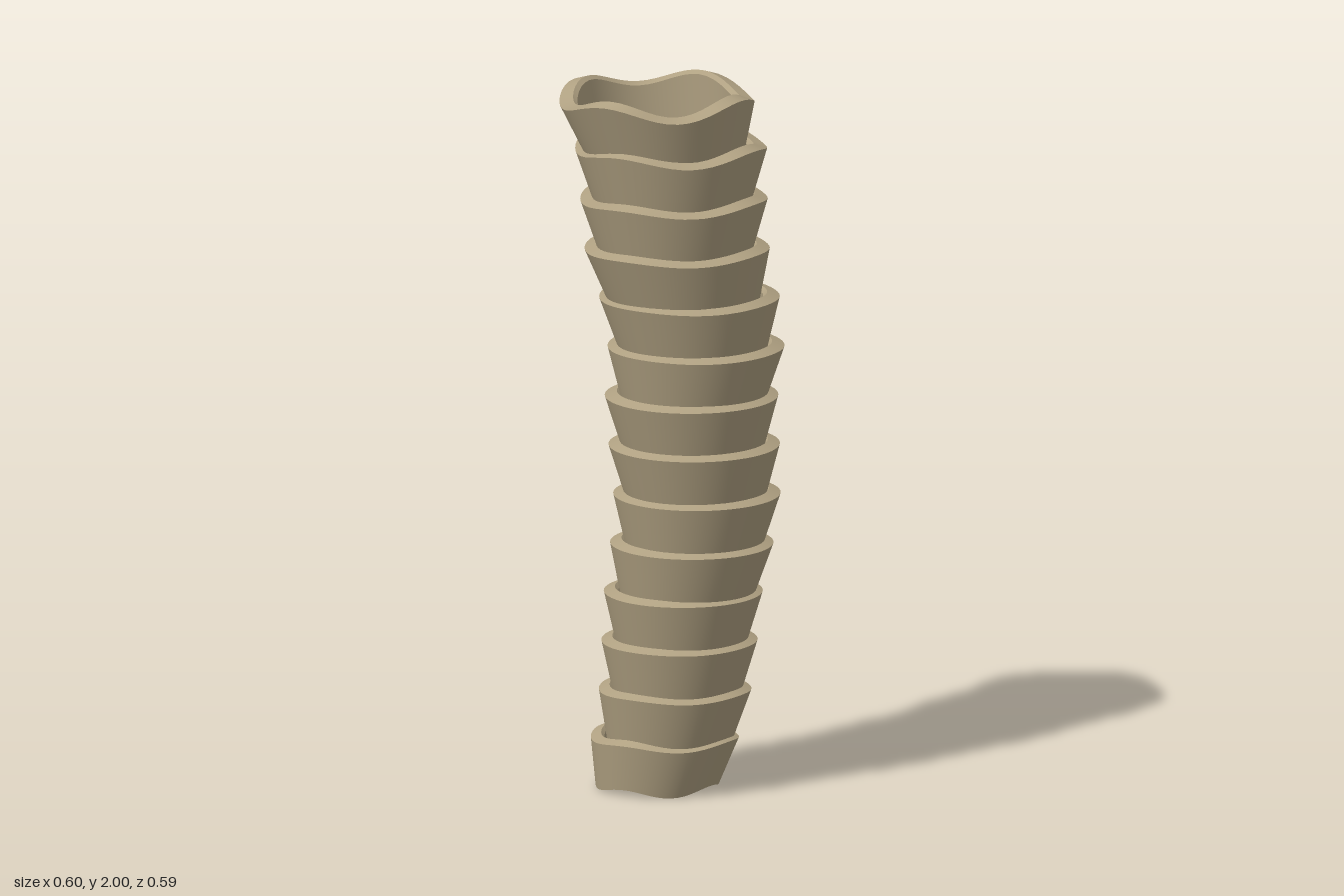
import * as THREE from 'three';
import { mergeGeometries } from 'three/addons/utils/BufferGeometryUtils.js';

const SIDES = 56;

// Rim of each segment: left, right, back, front extents and height
const RIMS = [
  [-0.25, 0.163, -0.23, 0.177, 0.143],
  [-0.225, 0.198, -0.246, 0.177, 0.281],
  [-0.217, 0.212, -0.26, 0.18, 0.42],
  [-0.21, 0.23, -0.262, 0.18, 0.56],
  [-0.193, 0.262, -0.273, 0.177, 0.70],
  [-0.183, 0.278, -0.289, 0.18, 0.841],
  [-0.19, 0.281, -0.286, 0.196, 0.982],
  [-0.196, 0.283, -0.278, 0.207, 1.122],
  [-0.193, 0.297, -0.291, 0.201, 1.262],
  [-0.21, 0.289, -0.283, 0.22, 1.403],
  [-0.238, 0.275, -0.26, 0.254, 1.544],
  [-0.25, 0.268, -0.262, 0.26, 1.685],
  [-0.267, 0.265, -0.267, 0.265, 1.83],
  [-0.30, 0.24, -0.246, 0.297, 1.968],
];

// Wave height of each edge: strong at both ends, calm in the middle
const WAVES = [0.009, 0.006, 0.003, 0.001, 0, 0, 0, 0, 0, 0.001, 0.002, 0.004, 0.007, 0.012, 0.019];

// One horizontal loop, wavy in height
function loop({ x, z, rx, rz, y, wave }) {
  const points = [];
  for (let i = 0; i < SIDES; i++) {
    const a = (i / SIDES) * Math.PI * 2;
    points.push(
      x + rx * Math.cos(a),
      y + wave * Math.cos(4 * (a + 0.12)),
      z + rz * Math.sin(a),
    );
  }
  return points;
}

// Smooth band between two loops; the seam shares its vertices
function band(from, to) {
  const index = [];
  for (let i = 0; i < SIDES; i++) {
    const j = (i + 1) % SIDES;
    index.push(i, i + SIDES, j, j, i + SIDES, j + SIDES);
  }
  const geometry = new THREE.BufferGeometry();
  geometry.setAttribute('position', new THREE.Float32BufferAttribute([...loop(from), ...loop(to)], 3));
  geometry.setIndex(index);
  geometry.computeVertexNormals();
  return geometry;
}

export function createModel() {
  const group = new THREE.Group();
  group.name = 'segmentedTrunk';
  const material = new THREE.MeshStandardMaterial({ color: 0xb0a182, side: THREE.DoubleSide });

  const rims = RIMS.map(([left, right, back, front, y], k) => ({
    x: (left + right) / 2, z: (back + front) / 2,
    rx: (right - left) / 2, rz: (front - back) / 2,
    y, wave: WAVES[k + 1],
  }));
  const base = { x: -0.063, z: -0.016, y: 0.009, wave: WAVES[0] };

  rims.forEach((rim, k) => {
    const prev = k ? rims[k - 1] : base;
    const blend = k ? 0.5 : 0;
    const foot = {
      x: THREE.MathUtils.lerp(prev.x, rim.x, blend),
      z: THREE.MathUtils.lerp(prev.z, rim.z, blend),
      y: prev.y, wave: prev.wave,
    };
    const ring = (at, scale, dy = 0) => ({
      ...at, rx: rim.rx * scale, rz: rim.rz * scale, y: at.y + dy,
    });
    // Closed profile: outer wall, sloping rim, inner lip, inner wall, underside
    const profile = [
      ring(foot, 0.83),
      ring(rim, 1),
      ring(rim, 0.86, 0.012),
      ring(rim, 0.815, 0.002),
      ring(foot, 0.79),
      ring(foot, 0.83),
    ];
    const bands = [];
    for (let i = 0; i < profile.length - 1; i++) bands.push(band(profile[i], profile[i + 1]));
    const segment = new THREE.Mesh(mergeGeometries(bands), material);
    segment.name = `trunkSegment${k + 1}`;
    group.add(segment);
  });

  return group;
}
